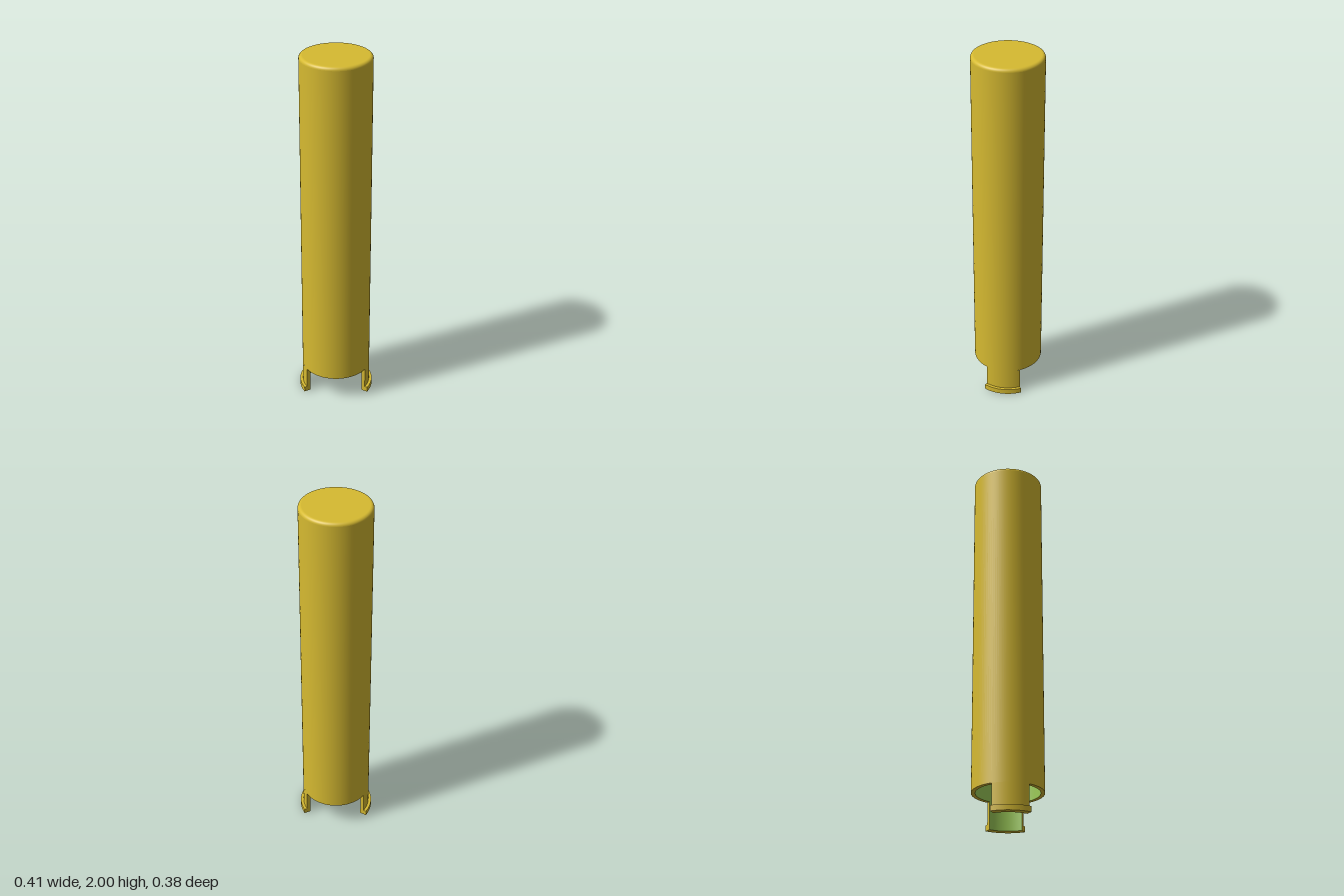
import * as THREE from 'three';

const OUTER = 0.19, INNER = 0.168, LIP = 0.206;
const TOP = 2, RIM = 0.15, LIP_H = 0.03, FILLET = 0.018, CEILING = 1.977;
const LEG_ARC = Math.PI / 3;

const shell = new THREE.MeshStandardMaterial({ color: 0xd6ba31 });
shell.name = 'mustard shell';
const lining = new THREE.MeshStandardMaterial({ color: 0x9ccb58 });
lining.name = 'green lining';

// One smooth band of revolution; separate bands keep the edges between them sharp
function band(parent, name, material, points, start = 0, arc = Math.PI * 2) {
  const segments = Math.max(20, Math.round(96 * arc / (Math.PI * 2)));
  const profile = points.map(([r, y]) => new THREE.Vector2(r, y));
  const mesh = new THREE.Mesh(new THREE.LatheGeometry(profile, segments, start, arc), material);
  mesh.name = name;
  parent.add(mesh);
}

// Flat radial face closing one side of a leg; side +1 is its start, -1 its end
function legSide(parent, phi, side) {
  const outline = [[INNER, 0], [LIP, 0], [LIP, LIP_H], [OUTER, LIP_H], [OUTER, RIM], [INNER, RIM]];
  const shape = new THREE.Shape(outline.map(([r, y]) => new THREE.Vector2(r * side, y)));
  const mesh = new THREE.Mesh(new THREE.ShapeGeometry(shape), shell);
  mesh.rotation.y = phi - Math.PI / 2 + (side < 0 ? Math.PI : 0);
  mesh.name = 'legSide';
  parent.add(mesh);
}

// Leg with an outward lip at its foot, centred on the angle phi
function makeLeg(name, phi) {
  const leg = new THREE.Group();
  leg.name = name;
  const start = phi - LEG_ARC / 2;
  const add = (part, material, points) => band(leg, part, material, points, start, LEG_ARC);
  add('legOuter', shell, [[OUTER, LIP_H], [OUTER, RIM]]);
  add('lipTop', shell, [[LIP, LIP_H], [OUTER, LIP_H]]);
  add('lipEdge', shell, [[LIP, 0], [LIP, LIP_H]]);
  add('legFoot', shell, [[INNER, 0], [LIP, 0]]);
  add('legLining', lining, [[INNER, RIM], [INNER, 0]]);
  legSide(leg, start, 1);
  legSide(leg, start + LEG_ARC, -1);
  return leg;
}

export function createModel() {
  const model = new THREE.Group();
  model.name = 'cap';

  // Tall tube with a rounded closed top
  const body = new THREE.Group();
  body.name = 'body';
  const fillet = [];
  for (let i = 0; i <= 8; i++) {
    const a = (i / 8) * Math.PI / 2;
    fillet.push([OUTER - FILLET + FILLET * Math.cos(a), TOP - FILLET + FILLET * Math.sin(a)]);
  }
  band(body, 'outerWall', shell, [[OUTER, RIM], [OUTER, TOP - FILLET]]);
  band(body, 'topFillet', shell, fillet);
  band(body, 'topFace', shell, [[OUTER - FILLET, TOP], [0, TOP]]);

  // Bore
  band(body, 'boreWall', lining, [[INNER, CEILING], [INNER, RIM]]);
  band(body, 'boreCeiling', lining, [[0, CEILING], [INNER, CEILING]]);

  // Open rim between the legs, front and back
  for (const phi of [0, Math.PI]) {
    band(body, 'rim', shell, [[INNER, RIM], [OUTER, RIM]], phi - LEG_ARC, LEG_ARC * 2);
  }

  model.add(body, makeLeg('leftLeg', Math.PI / 2), makeLeg('rightLeg', -Math.PI / 2));
  return model;
}
